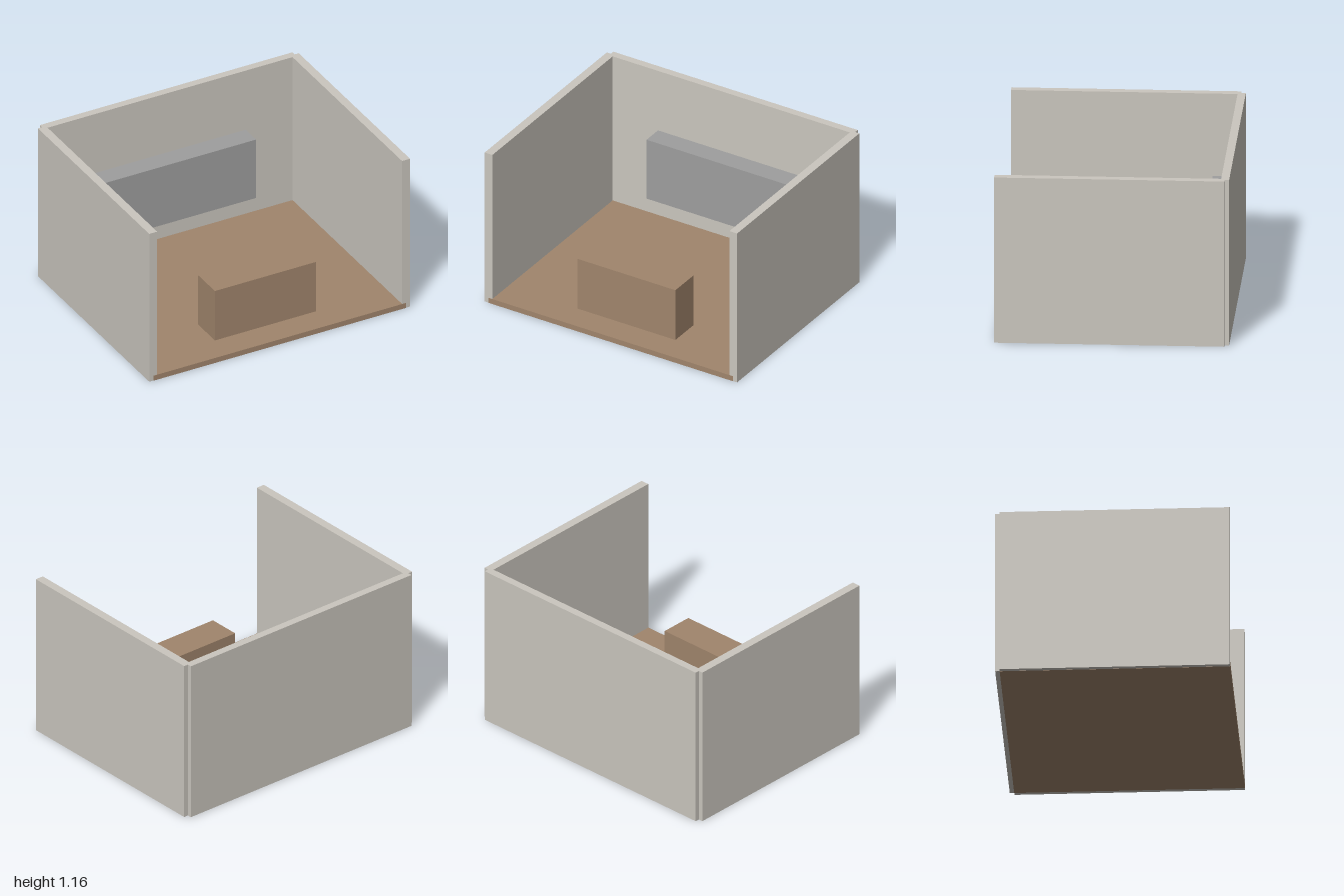
import * as THREE from 'three';

const material = (name, color) => {
  const m = new THREE.MeshStandardMaterial({ color });
  m.name = name;
  return m;
};

export function createModel() {
  const room = new THREE.Group();
  room.name = 'room';
  const plaster = material('warm grey plaster', 0xcac6be);
  const wood = material('brown wood', 0xa0856c);
  const grey = material('mid grey', 0x9e9e9e);

  // Box given by its [min, max] extent on each axis
  const box = (name, mat, [x0, x1], [y0, y1], [z0, z1]) => {
    const mesh = new THREE.Mesh(new THREE.BoxGeometry(x1 - x0, y1 - y0, z1 - z0), mat);
    mesh.position.set((x0 + x1) / 2, (y0 + y1) / 2, (z0 + z1) / 2);
    mesh.name = name;
    room.add(mesh);
  };

  // Floor slab, set a hair proud of the walls where their faces meet
  box('floor', wood, [-0.968, 0.968], [0, 0.039], [-0.76, 0.79]);

  // Side walls and the back wall, notched at the rear corners
  for (const [name, s] of [['leftWall', 1], ['rightWall', -1]]) {
    const xs = [0.939 * s, s].sort((a, b) => a - b);
    box(name, plaster, xs, [0.001, 1.165], [-0.759, 0.789]);
  }
  box('backWall', plaster, [-0.968, 0.968], [0.001, 1.165], [-0.79, -0.735]);

  // Cabinet mounted on the back wall
  box('wallCabinet', grey, [-0.58, 0.58], [0.24, 0.70], [-0.74, -0.59]);

  // Counter standing on the floor
  box('counter', wood, [-0.388, 0.388], [0.035, 0.428], [0.36, 0.592]);

  return room;
}
